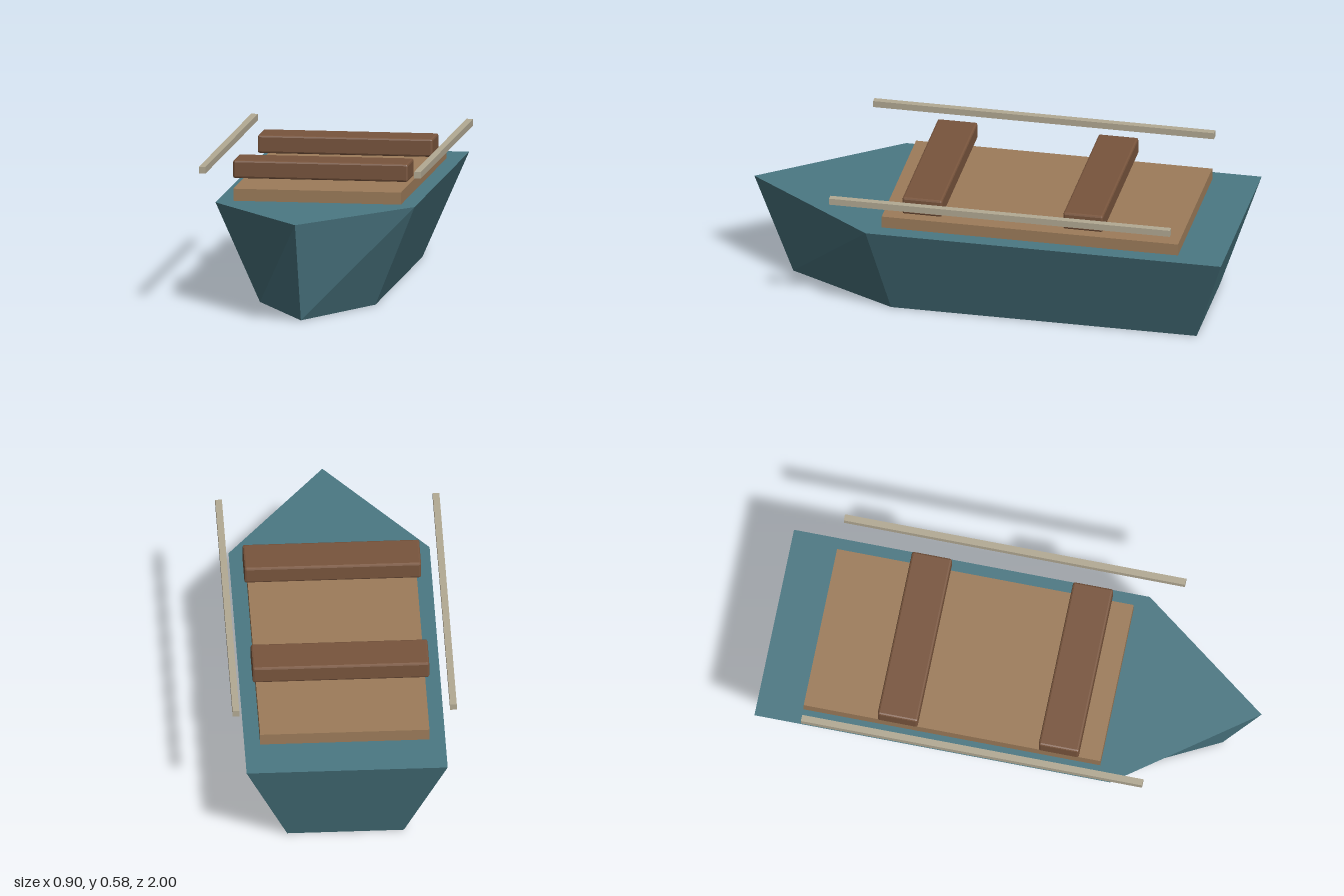
import * as THREE from 'three';
import { RoundedBoxGeometry } from 'three/addons/geometries/RoundedBoxGeometry.js';

function material(name, color) {
  const m = new THREE.MeshStandardMaterial({ color });
  m.name = name;
  return m;
}

// Solid hull lofted between a bottom and a top outline, with flat faces
function hullGeometry(bottom, top, yTop) {
  const b = bottom.map(([x, z]) => [x, 0, z]);
  const t = top.map(([x, z]) => [x, yTop, z]);
  const n = b.length;
  const pos = [];
  const tri = (...corners) => corners.forEach((c) => pos.push(...c));
  for (let i = 0; i < n; i++) {
    const j = (i + 1) % n;
    tri(b[i], b[j], t[j]);
    tri(b[i], t[j], t[i]);
  }
  for (let i = 1; i < n - 1; i++) {
    tri(t[0], t[i], t[i + 1]);
    tri(b[0], b[i + 1], b[i]);
  }
  const g = new THREE.BufferGeometry();
  g.setAttribute('position', new THREE.Float32BufferAttribute(pos, 3));
  g.computeVertexNormals();
  return g;
}

// Mirrored pointed outline, running bow, right side, stern, left side
function outline(halfWidth, bowZ, shoulderZ, sternZ) {
  return [[0, bowZ], [halfWidth, shoulderZ], [halfWidth, sternZ],
    [-halfWidth, sternZ], [-halfWidth, shoulderZ]];
}

export function createModel() {
  const boat = new THREE.Group();
  boat.name = 'rowingBoat';
  const teal = material('hullTeal', 0x4b7883);
  const tan = material('deckTan', 0x9d7c5a);
  const brown = material('benchBrown', 0x79553d);
  const pale = material('railPale', 0xb3aa94);

  function add(name, geometry, mat, x = 0, y = 0, z = 0) {
    const mesh = new THREE.Mesh(geometry, mat);
    mesh.name = name;
    mesh.position.set(x, y, z);
    boat.add(mesh);
  }

  // Hull with sloping sides, stern and pointed bow
  add('hull', hullGeometry(outline(0.235, 0.84, 0.39, -0.865),
    outline(0.405, 1, 0.46, -1), 0.412), teal);

  // Raised floor
  add('deck', new THREE.BoxGeometry(0.682, 0.05, 1.217), tan, 0, 0.436, -0.202);

  // Benches with narrow chamfers
  const bench = new RoundedBoxGeometry(0.712, 0.073, 0.164, 1, 0.008);
  bench.computeVertexNormals();
  add('frontBench', bench, brown, 0, 0.5265, 0.238);
  add('rearBench', bench, brown, 0, 0.5265, -0.423);

  // Side rails
  const rail = new THREE.BoxGeometry(0.027, 0.027, 1.4);
  add('leftRail', rail, pale, 0.438, 0.564, -0.1);
  add('rightRail', rail, pale, -0.438, 0.564, -0.1);

  return boat;
}
